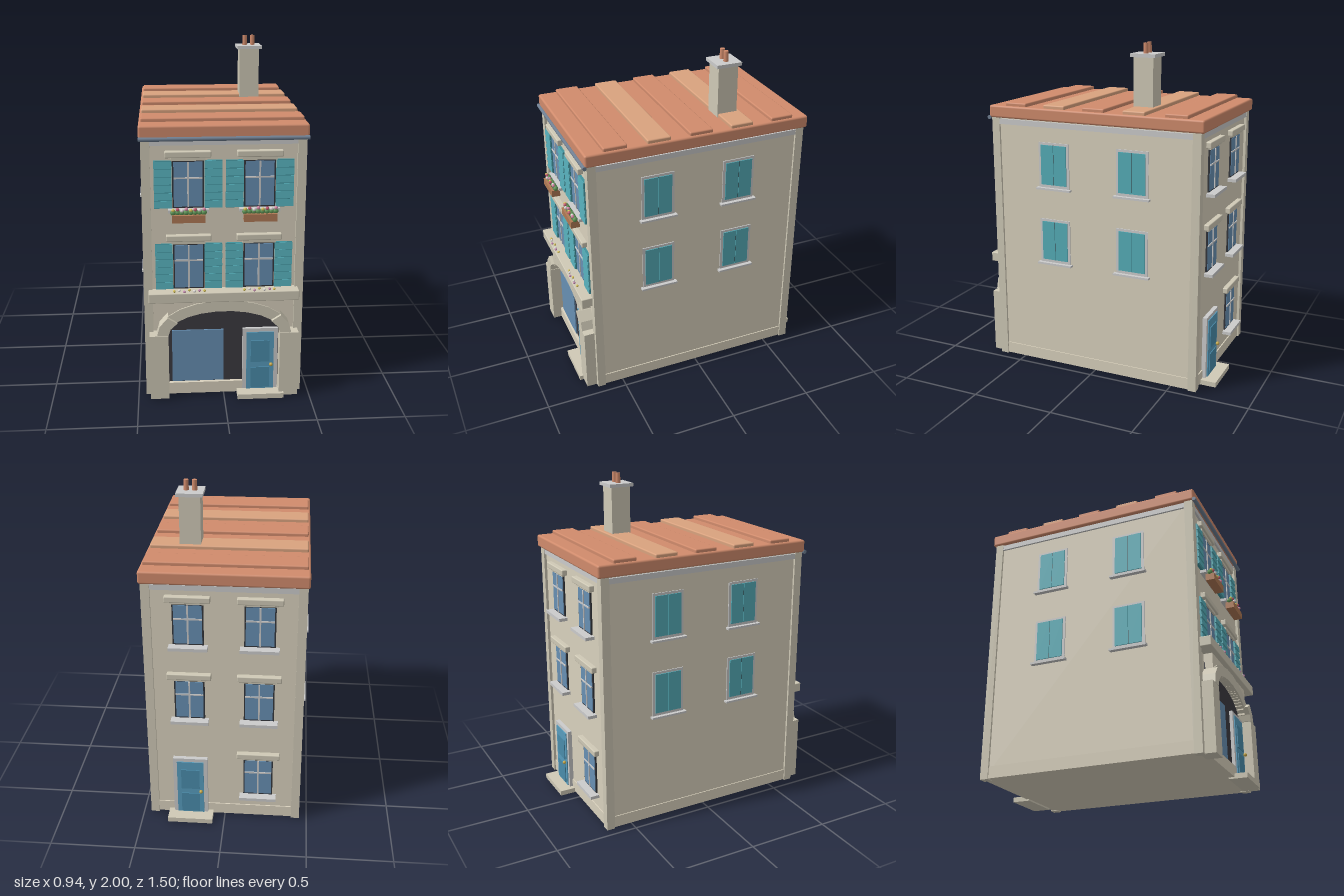
import * as THREE from 'three';
import { RoundedBoxGeometry } from 'three/addons/geometries/RoundedBoxGeometry.js';

const C = {
  wall: 0xd9d1bd, stone: 0xcfc9b6, trim: 0xdadad6, dark: 0x3b3a40, glass: 0x678fb3, frame: 0x34363c,
  teal: 0x55adb8, tealDark: 0x3f929d, door: 0x589dbd, doorPanel: 0x4a8cab, tile: 0xd08b6c, tileLight: 0xd9a27e,
  gutter: 0x6f7f92, wood: 0xb07a55, leaf: 0x5d9455, gold: 0xc9a94a,
};
const mats = {};
const mat = (c) => (mats[c] ??= new THREE.MeshStandardMaterial({ color: c }));

function add(parent, name, geo, color, x = 0, y = 0, z = 0) {
  const m = new THREE.Mesh(geo, mat(color));
  m.name = name;
  m.position.set(x, y, z);
  parent.add(m);
  return m;
}
// Box given by its limits along x, y and z
function span(parent, name, color, x0, x1, y0, y1, z0, z1, r = 0) {
  const s = [x1 - x0, y1 - y0, z1 - z0];
  const geo = r ? new RoundedBoxGeometry(...s, 2, r) : new THREE.BoxGeometry(...s);
  return add(parent, name, geo, color, (x0 + x1) / 2, (y0 + y1) / 2, (z0 + z1) / 2);
}
function group(parent, name, x = 0, y = 0, z = 0, ry = 0) {
  const g = new THREE.Group();
  g.name = name;
  g.position.set(x, y, z);
  g.rotation.y = ry;
  parent.add(g);
  return g;
}

// Glazed window; origin at the bottom centre of the opening, wall plane at z = 0
function window_(parent, x, y, h, lintelY) {
  const g = group(parent, 'window', x, y, 0), w = 0.0875;
  span(g, 'windowFrame', C.frame, -w, w, 0, h, -0.01, 0.008);
  span(g, 'windowGlass', C.glass, -w + 0.008, w - 0.008, 0.008, h - 0.008, 0, 0.011);
  span(g, 'muntin', C.trim, -0.005, 0.005, 0.008, h - 0.008, 0, 0.016);
  span(g, 'muntin', C.trim, -w + 0.008, w - 0.008, h * 0.62, h * 0.62 + 0.009, 0, 0.016);
  span(g, 'lintel', C.stone, -0.127, 0.127, lintelY, lintelY + 0.036, -0.01, 0.03, 0.006);
  span(g, 'lintelBed', C.stone, -0.095, 0.095, h, lintelY, -0.01, 0.018);
  return g;
}

// Pair of open louvred shutters beside a window
function shutters(g, h) {
  for (const s of [-1, 1]) {
    const sh = group(g, 'shutter', s * 0.139, 0, 0);
    span(sh, 'shutterBoard', C.tealDark, -0.049, 0.049, 0, h, 0, 0.014);
    const n = 6, p = h / n;
    for (let i = 0; i < n; i++) {
      const l = span(sh, 'shutterSlat', C.teal, -0.049, 0.049, i * p + 0.003, (i + 1) * p - 0.002, 0.01, 0.02);
      l.rotation.x = -0.12;
    }
  }
}

function flowers(parent, y, z, n, r, colors, leaves) {
  for (let i = 0; i < n; i++) {
    const x = -0.085 + (0.17 * i) / (n - 1);
    if (leaves) add(parent, 'leaves', new THREE.SphereGeometry(0.016, 8, 6), C.leaf, x, y - 0.016, z - 0.008);
    add(parent, 'flower', new THREE.SphereGeometry(r, 8, 6), colors[i % colors.length], x, y + (i % 2) * 0.006, z + (i % 3) * 0.005);
  }
}

function door(parent, x) {
  const g = group(parent, 'door', x, 0, 0);
  span(g, 'doorFrame', C.trim, -0.103, 0.103, 0.01, 0.415, -0.01, 0.025);
  span(g, 'doorLeaf', C.door, -0.08, 0.08, 0.025, 0.393, 0, 0.031);
  span(g, 'doorPanel', C.doorPanel, -0.055, 0.055, 0.04, 0.17, 0, 0.036);
  span(g, 'doorPanel', C.doorPanel, -0.055, 0.055, 0.205, 0.34, 0, 0.036);
  add(g, 'doorKnob', new THREE.SphereGeometry(0.011, 10, 8), C.gold, 0.064, 0.19, 0.042);
  span(g, 'doorStep', C.stone, -0.135, 0.135, 0, 0.03, -0.01, 0.1);
}

// Stone arch with side piers around the shopfront
function shopfront(front) {
  const g = group(front, 'shopfront');
  const rx = 0.32, ry = 0.135, spring = 0.41;
  span(g, 'archBacking', C.dark, -rx, rx, 0.08, 0.56, -0.01, 0.006);
  span(g, 'shopWindow', C.glass, -0.3, 0, 0.085, 0.41, 0, 0.014);
  span(g, 'shopPlinth', C.wall, -rx, 0.11, 0.01, 0.08, -0.01, 0.025);
  for (const s of [-1, 1])
    span(g, 'pier', C.stone, Math.min(s * rx, s * 0.428), Math.max(s * rx, s * 0.428), 0.008, 0.407, -0.01, 0.078);

  // Infill above the arch with a stepped underside
  const sh = new THREE.Shape(), n = 28;
  sh.moveTo(rx, 0.615);
  sh.lineTo(-rx, 0.615);
  for (let i = 0; i < n; i++) {
    const x0 = -rx + (2 * rx * i) / n, x1 = x0 + (2 * rx) / n, u = (x0 + x1) / 2 / rx;
    const y = spring + ry * Math.sqrt(1 - u * u);
    sh.lineTo(x0, y);
    sh.lineTo(x1, y);
  }
  add(g, 'archInfill', new THREE.ExtrudeGeometry(sh, { depth: 0.055, bevelEnabled: false }), C.wall, 0, 0, -0.005);

  // Wedge stones following the arch
  const at = (a, k) => [Math.cos(a) * (rx + k), spring + Math.sin(a) * (ry + k)];
  const stones = 11;
  for (let i = 0; i < stones; i++) {
    const a0 = (Math.PI * i) / stones, a1 = (Math.PI * (i + 1)) / stones;
    const v = new THREE.Shape([at(a0, 0), at(a0, 0.065), at(a1, 0.065), at(a1, 0)].map((p) => new THREE.Vector2(...p)));
    const end = Math.min(i, stones - 1 - i) < 2;
    add(g, 'archStone', new THREE.ExtrudeGeometry(v, { depth: end ? 0.083 : 0.063, bevelEnabled: false }), C.stone, 0, 0, -0.005);
  }
  span(g, 'ledge', C.stone, -0.428, 0.425, 0.61, 0.668, -0.01, 0.08, 0.005);
  door(g, 0.212);
}

function sideWall(root, s) {
  const g = group(root, s > 0 ? 'leftWall' : 'rightWall', s * 0.442, 0, 0, (s * Math.PI) / 2);
  for (const x of [-0.253, 0.253])
    for (const y of [0.69, 1.16]) {
      const w = group(g, 'shutteredWindow', x, y, 0);
      span(w, 'windowSurround', C.trim, -0.1, 0.1, -0.018, 0.255, -0.01, 0.006);
      for (const d of [-1, 1]) {
        const p = span(w, 'closedShutter', C.teal, -0.041, 0.041, 0, 0.24, 0, 0.012);
        p.position.x = d * 0.0425;
      }
      span(w, 'shutterGap', C.frame, -0.003, 0.003, 0, 0.24, 0, 0.009);
      span(w, 'sill', C.trim, -0.113, 0.113, -0.03, -0.018, -0.01, 0.028);
    }
  span(g, 'plinth', C.wall, -0.62, 0.62, 0.01, 0.08, -0.01, 0.006);
  span(g, 'cornice', C.trim, -0.62, 0.62, 1.505, 1.537, -0.01, 0.012);
}

export function createModel() {
  const root = new THREE.Group();
  root.name = 'townHouse';
  span(root, 'body', C.wall, -0.442, 0.442, 0.01, 1.56, -0.65, 0.65);
  for (const x of [-1, 1])
    for (const z of [-1, 1]) {
      const p = span(root, 'cornerPilaster', C.stone, -0.025, 0.025, 0.006, 1.545, -0.025, 0.025);
      p.position.x = x * 0.43;
      p.position.z = z * 0.641;
    }
  sideWall(root, 1);
  sideWall(root, -1);

  // Front wall
  const front = group(root, 'frontWall', 0, 0, 0.651);
  span(front, 'cornice', C.trim, -0.405, 0.405, 1.505, 1.537, -0.01, 0.012);
  for (const x of [-0.198, 0.198]) {
    const up = window_(front, x, 1.15, 0.27, 0.288);
    shutters(up, 0.27);
    span(up, 'sill', C.trim, -0.113, 0.113, -0.022, -0.004, -0.01, 0.035);
    span(up, 'flowerBox', C.wood, -0.092, 0.092, -0.066, -0.024, 0.025, 0.077);
    flowers(up, 0.002, 0.058, 8, 0.01, [0xd8c35a, 0xc65a72, 0xe0d6d8, 0xd78aa8], true);
    const low = window_(front, x, 0.67, 0.27, 0.288);
    shutters(low, 0.27);
    flowers(low, 0.006, 0.062, 7, 0.008, [0xd8c35a, 0xe4e0dc, 0xc98fb4], false);
  }
  shopfront(front);

  // Back wall
  const back = group(root, 'backWall', 0, 0, -0.651, Math.PI);
  span(back, 'cornice', C.trim, -0.405, 0.405, 1.505, 1.537, -0.01, 0.012);
  span(back, 'plinth', C.wall, -0.405, 0.405, 0.01, 0.08, -0.01, 0.006);
  for (const x of [-0.2, 0.2])
    for (const y of [0.17, 0.695, 1.175]) {
      if (x < 0 && y < 0.5) continue;
      const w = window_(back, x, y, 0.25, 0.262);
      span(w, 'sill', C.trim, -0.11, 0.11, -0.022, -0.003, -0.01, 0.053);
    }
  door(back, -0.205);

  // Roof with raised tile courses
  span(root, 'roof', C.tile, -0.465, 0.465, 1.543, 1.617, -0.685, 0.678, 0.012);
  [-0.518, -0.262, -0.009, 0.245, 0.5].forEach((z, i) =>
    span(root, 'tileCourse', i % 2 ? C.tileLight : C.tile, -0.453, 0.453, 1.6, 1.638, z - 0.07, z + 0.07, 0.008));
  const gutter = add(root, 'gutter', new THREE.CylinderGeometry(0.012, 0.012, 0.93, 12), C.gutter, 0, 1.543, 0.68);
  gutter.rotation.z = Math.PI / 2;

  // Chimney
  const ch = group(root, 'chimney', 0.221, 0, -0.248);
  span(ch, 'chimneyStack', C.stone, -0.061, 0.061, 1.58, 1.922, -0.061, 0.061);
  span(ch, 'chimneyCap', C.trim, -0.077, 0.077, 1.92, 1.94, -0.077, 0.077);
  for (const x of [-0.024, 0.024])
    add(ch, 'chimneyPot', new THREE.CylinderGeometry(0.014, 0.015, 0.062, 12), C.tile, x, 1.969, 0);
  return root;
}
